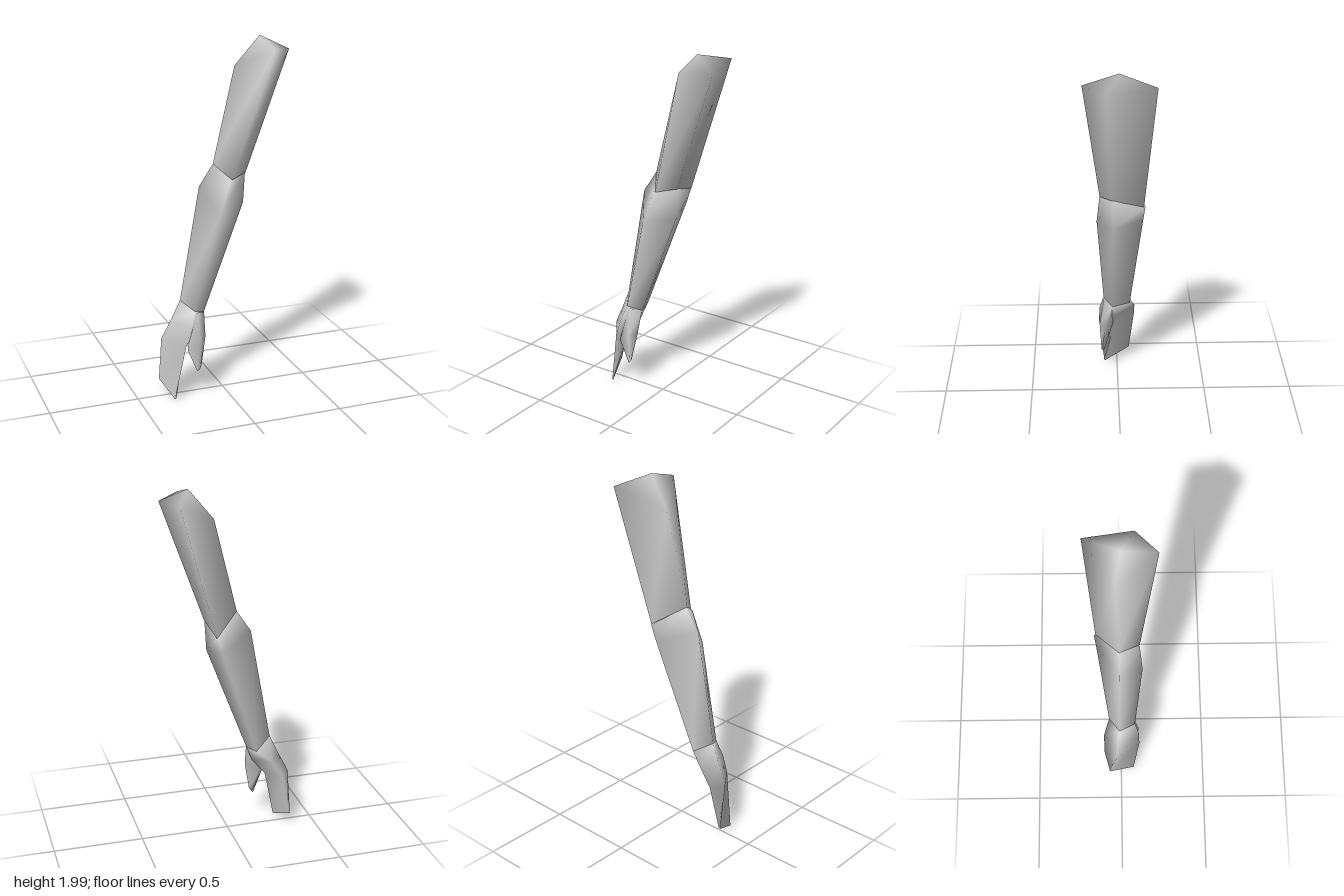
import * as THREE from 'three';

// Smooth closed skin over rings of four points (outer, front, inner, back),
// listed from the top down, with a fan to a point at each end.
function limb(name, rings, topPoint) {
  const n = rings[0].length;
  const centre = ring => [0, 1, 2].map(k => ring.reduce((s, p) => s + p[k], 0) / n);
  const last = rings.length - 1;
  const points = [...rings.flat(), topPoint || centre(rings[0]), centre(rings[last])];
  const top = n * rings.length, bottom = top + 1;
  const index = [];
  for (let j = 0; j < n; j++) {
    const k = (j + 1) % n;
    for (let i = 0; i < last; i++) {
      const a = i * n + j, b = i * n + k;
      index.push(a, a + n, b, b, a + n, b + n);
    }
    index.push(top, j, k, bottom, last * n + k, last * n + j);
  }
  const geometry = new THREE.BufferGeometry();
  geometry.setAttribute('position', new THREE.Float32BufferAttribute(points.flat(), 3));
  geometry.setIndex(index);
  geometry.computeVertexNormals();
  const mesh = new THREE.Mesh(geometry, new THREE.MeshStandardMaterial({
    color: 0xcccccc, side: THREE.DoubleSide,
  }));
  mesh.name = name;
  return mesh;
}

export function createModel() {
  const arm = new THREE.Group();
  arm.name = 'arm';

  // Upper arm with a peaked shoulder cap
  const elbow = [[-0.05, 1.32, -0.01], [0.02, 1.25, 0.1], [0.12, 1.27, 0.04], [0.095, 1.22, -0.135]];
  arm.add(limb('upperArm', [
    [[0.08, 1.84, -0.03], [0.225, 1.945, 0.187], [0.35, 1.93, 0.07], [0.3, 1.955, -0.19]],
    elbow,
  ], [0.21, 2, 0]));

  // Forearm, widest just below the elbow
  const wrist = [[-0.245, 0.56, -0.01], [-0.19, 0.52, 0.08], [-0.12, 0.49, 0.03], [-0.15, 0.5, -0.07]];
  arm.add(limb('forearm', [
    [[-0.05, 1.32, -0.01], [0.01, 1.25, 0.1], [0.12, 1.27, 0.03], [0.09, 1.22, -0.143]],
    [[-0.13, 1.2, -0.01], [-0.05, 1.07, 0.117], [0.11, 1.1, 0.03], [0.065, 1.13, -0.133]],
    wrist,
  ]));

  // Hand: flat mitten of palm and fingers, plus a thumb
  const hand = new THREE.Group();
  hand.name = 'hand';
  hand.add(limb('palmAndFingers', [
    wrist,
    [[-0.3, 0.44, -0.02], [-0.22, 0.43, 0.104], [-0.15, 0.41, 0.02], [-0.23, 0.44, -0.1]],
    [[-0.35, 0.34, -0.03], [-0.25, 0.33, 0.107], [-0.23, 0.31, 0.02], [-0.3, 0.34, -0.1]],
    [[-0.355, 0.08, -0.07], [-0.308, 0.01, 0.076], [-0.3, 0.015, 0.076], [-0.345, 0.085, -0.072]],
  ]));
  hand.add(limb('thumb', [
    [[-0.2, 0.5, 0.06], [-0.17, 0.51, 0.08], [-0.12, 0.49, 0.035], [-0.16, 0.48, 0.01]],
    [[-0.235, 0.3, 0.09], [-0.165, 0.35, 0.104], [-0.125, 0.36, 0.07], [-0.2, 0.32, 0.03]],
    [[-0.18, 0.165, 0.085], [-0.168, 0.175, 0.094], [-0.155, 0.2, 0.088], [-0.17, 0.18, 0.075]],
  ]));
  arm.add(hand);
  return arm;
}
